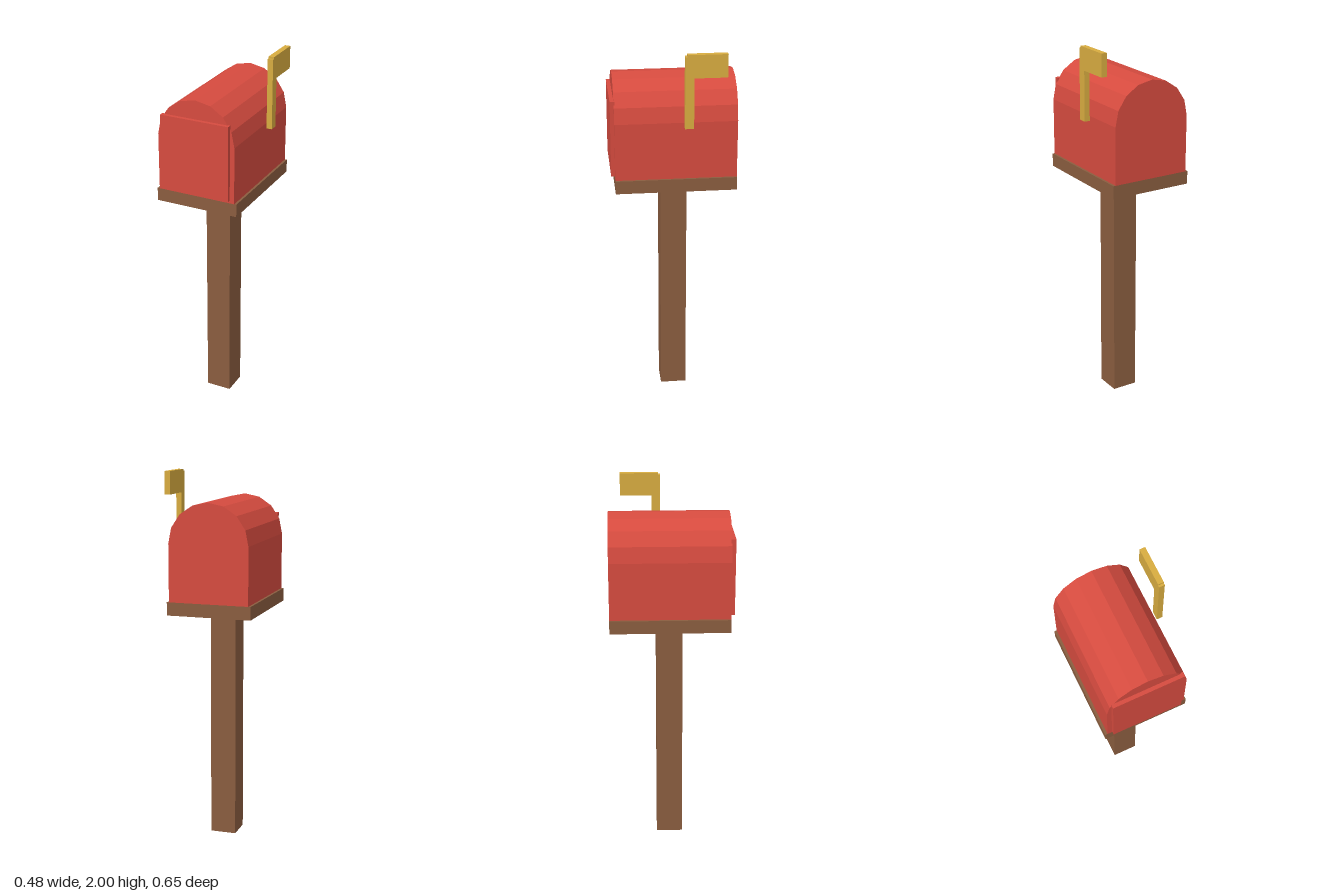
import * as THREE from 'three';

const mat = (name, color) => {
  const m = new THREE.MeshStandardMaterial({ color });
  m.name = name;
  return m;
};

export function createModel() {
  const red = mat('red', 0xd64b3f);
  const brown = mat('brown', 0x8a5d3f);
  const gold = mat('gold', 0xd8ac40);
  const model = new THREE.Group();
  model.name = 'mailbox';

  // Box given by its lower and upper corners
  const block = (name, material, [x0, y0, z0], [x1, y1, z1], parent = model) => {
    const mesh = new THREE.Mesh(new THREE.BoxGeometry(x1 - x0, y1 - y0, z1 - z0), material);
    mesh.position.set((x0 + x1) / 2, (y0 + y1) / 2, (z0 + z1) / 2);
    mesh.name = name;
    parent.add(mesh);
  };

  // Wooden stand
  block('post', brown, [-0.085, 0, -0.081], [0.055, 1.26, 0.06]);
  block('shelf', brown, [-0.243, 1.26, -0.327], [0.212, 1.33, 0.305]);

  // Arched box: straight walls with an eight-sided half-round roof
  const r = 0.215, centre = -0.015, spring = 1.635;
  const outline = new THREE.Shape();
  outline.moveTo(centre - r, 1.33);
  outline.lineTo(centre + r, 1.33);
  for (let i = 0; i <= 8; i++) {
    const a = (i * Math.PI) / 8;
    outline.lineTo(centre + r * Math.cos(a), spring + r * Math.sin(a));
  }
  outline.closePath();
  const box = new THREE.Mesh(
    new THREE.ExtrudeGeometry(outline, { depth: 0.632, bevelEnabled: false }), red);
  box.position.z = -0.327;
  box.name = 'box';
  model.add(box);

  // Door plate on the front
  block('door', red, [-0.205, 1.345, 0.3], [0.175, 1.75, 0.325]);

  // Raised flag on the left side
  const flag = new THREE.Group();
  flag.name = 'flag';
  model.add(flag);
  block('flagPole', gold, [0.211, 1.615, -0.096], [0.241, 1.99, -0.05], flag);
  block('flagPanel', gold, [0.211, 1.88, -0.264], [0.241, 2, -0.061], flag);

  return model;
}
